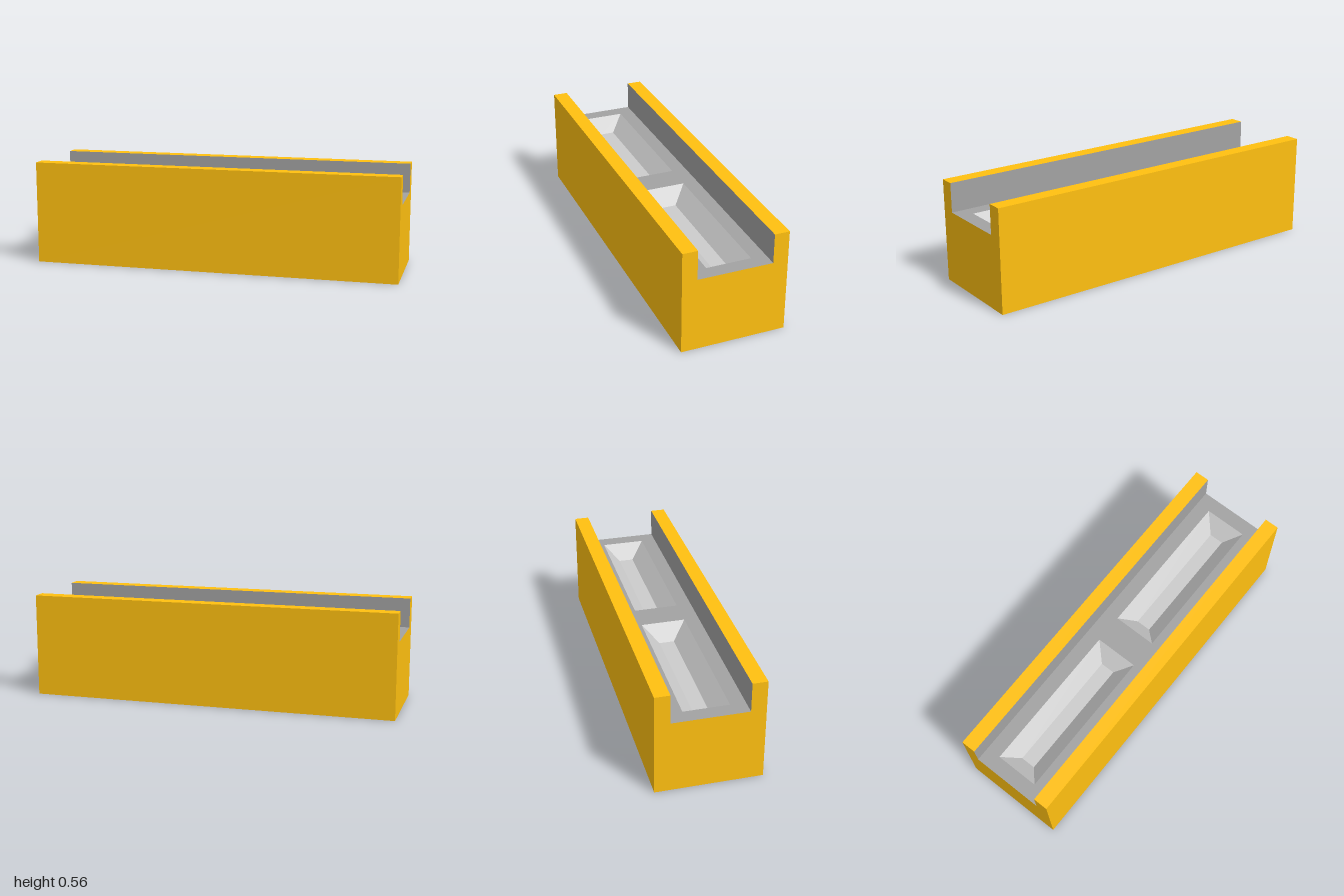
import * as THREE from 'three';
import { mergeGeometries } from 'three/addons/utils/BufferGeometryUtils.js';

const gold = new THREE.MeshStandardMaterial({ color: 0xffc010 });
const deckGrey = new THREE.MeshStandardMaterial({ color: 0xa2a2a2 });
const lightGrey = new THREE.MeshStandardMaterial({ color: 0xcccccc });

// main dimensions (half length, outer and inner half width, wall top, deck)
const L = 1, W = 0.28, IN = 0.2, TOP = 0.56, DECK = 0.4;
const TRAY_X = 0.5, TRAY = [0.42, 0.12], BEVEL = 0.08;

// flat-faced surface from four-cornered faces, corners counter-clockwise
function quads(list) {
  const pos = list.flatMap(([a, b, c, d]) => [a, b, c, a, c, d].flat());
  const geo = new THREE.BufferGeometry();
  geo.setAttribute('position', new THREE.Float32BufferAttribute(pos, 3));
  geo.computeVertexNormals();
  return geo;
}

// sweep an open [y, z] profile along the whole length
function strip(profile) {
  return quads(profile.slice(1).map((q, i) => {
    const p = profile[i];
    return [[-L, ...p], [L, ...p], [L, ...q], [-L, ...q]];
  }));
}

function outline(points, Type = THREE.Shape) {
  return new Type(points.map(([x, y]) => new THREE.Vector2(x, y)));
}

function rect(cx, hx, hy) {
  return [[cx - hx, -hy], [cx + hx, -hy], [cx + hx, hy], [cx - hx, hy]];
}

function part(name, geometry, material) {
  const mesh = new THREE.Mesh(geometry, material);
  mesh.name = name;
  return mesh;
}

// sloped sides and flat floor of one recess
function trayGeometry() {
  const ring = (hx, hz, y) =>
    [[-1, 1], [1, 1], [1, -1], [-1, -1]].map(([sx, sz]) => [sx * hx, y, sz * hz]);
  const rim = ring(TRAY[0], TRAY[1], DECK);
  const floor = ring(TRAY[0] - BEVEL, TRAY[1] - BEVEL, DECK - BEVEL);
  const sides = rim.map((r, i) => {
    const j = (i + 1) % 4;
    return [r, rim[j], floor[j], floor[i]];
  });
  return quads([floor, ...sides]);
}

export function createModel() {
  const model = new THREE.Group();
  model.name = 'troughBlock';

  // outer faces and the tops of both walls
  model.add(part('housing', strip([
    [TOP, -IN], [TOP, -W], [0, -W], [0, W], [TOP, W], [TOP, IN],
  ]), gold));

  // U-shaped end faces
  const uShape = outline([
    [-W, 0], [W, 0], [W, TOP], [IN, TOP], [IN, DECK], [-IN, DECK], [-IN, TOP], [-W, TOP],
  ]);
  for (const s of [1, -1]) {
    const end = new THREE.ShapeGeometry(uShape).rotateY(s * Math.PI / 2).translate(s * L, 0, 0);
    model.add(part(s > 0 ? 'leftEnd' : 'rightEnd', end, gold));
  }

  // inner wall faces
  model.add(part('channelWalls', mergeGeometries([
    strip([[TOP, IN], [DECK, IN]]),
    strip([[DECK, -IN], [TOP, -IN]]),
  ]), deckGrey));

  // channel floor with two openings
  const deck = outline(rect(0, L, IN));
  for (const s of [1, -1]) deck.holes.push(outline(rect(s * TRAY_X, ...TRAY), THREE.Path));
  const deckGeo = new THREE.ShapeGeometry(deck).rotateX(-Math.PI / 2).translate(0, DECK, 0);
  model.add(part('deck', deckGeo, deckGrey));

  // recessed trays
  for (const s of [1, -1]) {
    const tray = part(s > 0 ? 'leftTray' : 'rightTray', trayGeometry(), lightGrey);
    tray.position.x = s * TRAY_X;
    model.add(tray);
  }
  return model;
}
